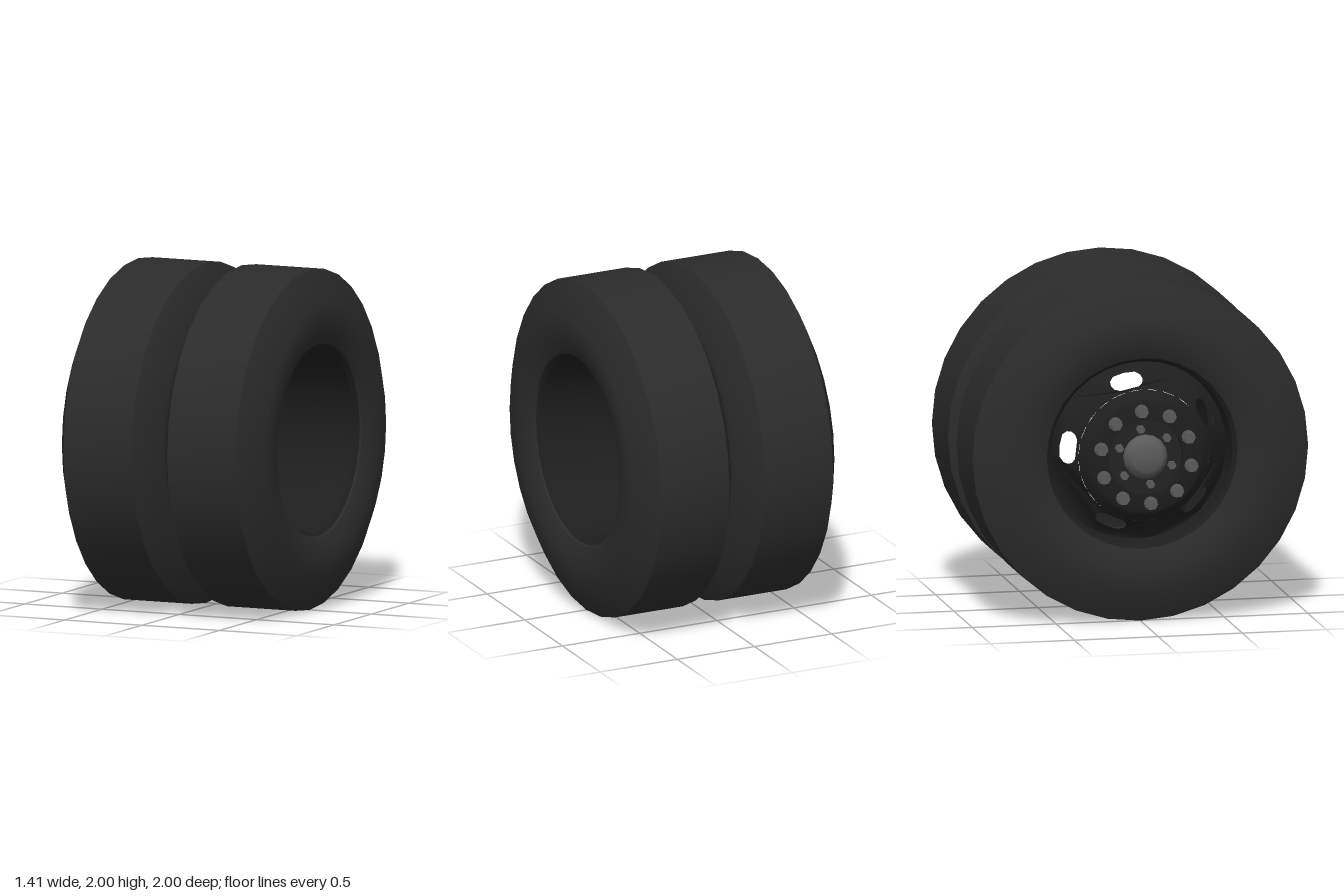
import * as THREE from 'three';
import { toCreasedNormals } from 'three/addons/utils/BufferGeometryUtils.js';

const rubber = new THREE.MeshStandardMaterial({ color: 0x2b2b2b });
rubber.name = 'rubber';
const darkSteel = new THREE.MeshStandardMaterial({ color: 0x1e1e1e, side: THREE.DoubleSide });
darkSteel.name = 'dark steel';
const hubBlack = new THREE.MeshStandardMaterial({ color: 0x222222 });
hubBlack.name = 'hub black';
const greySteel = new THREE.MeshStandardMaterial({ color: 0x5a5a5a });
greySteel.name = 'grey steel';

// Revolves [x, radius] points about the axle, which runs along x.
function revolve(points, segments) {
  const profile = points.map(([x, r]) => new THREE.Vector2(r, x));
  const geometry = new THREE.LatheGeometry(profile, segments).rotateZ(-Math.PI / 2);
  return toCreasedNormals(geometry, 0.6);
}

function add(parent, name, geometry, material) {
  const mesh = new THREE.Mesh(geometry, material);
  mesh.name = name;
  parent.add(mesh);
  return mesh;
}

// Tyre with a bevelled shoulder, and the barrel it sits on.
function makeTyre(name, centre) {
  const group = new THREE.Group();
  group.name = name;
  group.position.x = centre;
  add(group, 'tyre', revolve([
    [-0.16, 0.545], [-0.28, 0.57], [-0.305, 0.62], [-0.322, 0.7], [-0.322, 0.81],
    [-0.22, 1], [0.22, 1],
    [0.322, 0.81], [0.322, 0.7], [0.305, 0.62], [0.28, 0.57], [0.16, 0.545],
  ], 32), rubber);
  add(group, 'rimBarrel', revolve([
    [-0.27, 0.565], [-0.25, 0.545], [-0.15, 0.535], [0.15, 0.535], [0.25, 0.545], [0.27, 0.565],
  ], 32), darkSteel);
  return group;
}

// Conical band of the wheel disc with five rounded slots.
function slottedBand(rIn, rOut, xIn, xOut) {
  const shape = new THREE.Shape().absarc(0, 0, rOut, 0, Math.PI * 2);
  shape.holes.push(new THREE.Path().absarc(0, 0, rIn, 0, Math.PI * 2, true));
  const outline = [
    [-0.14, 0.475], [0, 0.478], [0.14, 0.475], [0.2, 0.46], [0.22, 0.44], [0.2, 0.42],
    [0.14, 0.405], [0, 0.402], [-0.14, 0.405], [-0.2, 0.42], [-0.22, 0.44], [-0.2, 0.46],
  ];
  for (let i = 0; i < 5; i++) {
    const mid = THREE.MathUtils.degToRad(78.5 + i * 72);
    shape.holes.push(new THREE.Path(outline.map(([a, r]) =>
      new THREE.Vector2(r * Math.cos(mid + a), r * Math.sin(mid + a)))));
  }
  const geometry = new THREE.ShapeGeometry(shape, 20);
  const p = geometry.attributes.position;
  for (let i = 0; i < p.count; i++) {
    const u = p.getX(i), v = p.getY(i);
    const t = (Math.hypot(u, v) - rIn) / (rOut - rIn);
    p.setXYZ(i, xIn + (xOut - xIn) * t, v, -u);
  }
  geometry.computeVertexNormals();
  return geometry;
}

// Ring of hexagonal fasteners around the axle.
function fastenerRing(parent, name, count, ring, start, layers) {
  for (let i = 0; i < count; i++) {
    const a = start + (i / count) * Math.PI * 2;
    for (const [radius, length, x, sides] of layers) {
      const geometry = new THREE.CylinderGeometry(radius, radius, length, sides).rotateZ(Math.PI / 2);
      const mesh = add(parent, name, toCreasedNormals(geometry, 0.6), greySteel);
      mesh.position.set(x, ring * Math.cos(a), -ring * Math.sin(a));
    }
  }
}

export function createModel() {
  const model = new THREE.Group();
  model.name = 'dualWheel';
  const wheel = new THREE.Group();
  wheel.name = 'wheelAssembly';
  wheel.position.y = 1;
  model.add(wheel);

  wheel.add(makeTyre('outerWheel', -0.288), makeTyre('innerWheel', 0.382));

  // Wheel disc
  add(wheel, 'slottedBand', slottedBand(0.39, 0.535, -0.6, -0.4), darkSteel);
  add(wheel, 'wheelDisc', revolve([
    [-0.6, 0.39], [-0.615, 0.375], [-0.65, 0.345], [-0.662, 0.325], [-0.662, 0.22], [-0.63, 0.22],
  ], 24), darkSteel);

  // Hub
  const flange = add(wheel, 'hubFlange', new THREE.RingGeometry(0.1, 0.22, 24).rotateY(-Math.PI / 2), hubBlack);
  flange.position.x = -0.635;
  add(wheel, 'hubCap', revolve([
    [-0.708, 0], [-0.708, 0.085], [-0.695, 0.105], [-0.655, 0.13], [-0.62, 0.13], [-0.6, 0.085], [-0.6, 0],
  ], 16), greySteel);

  fastenerRing(wheel, 'hubBolt', 6, 0.166, 0.18, [[0.025, 0.035, -0.65, 6]]);
  fastenerRing(wheel, 'wheelNut', 10, 0.275, 0.1, [
    [0.04, 0.012, -0.668, 12], [0.036, 0.034, -0.69, 6],
  ]);
  return model;
}
